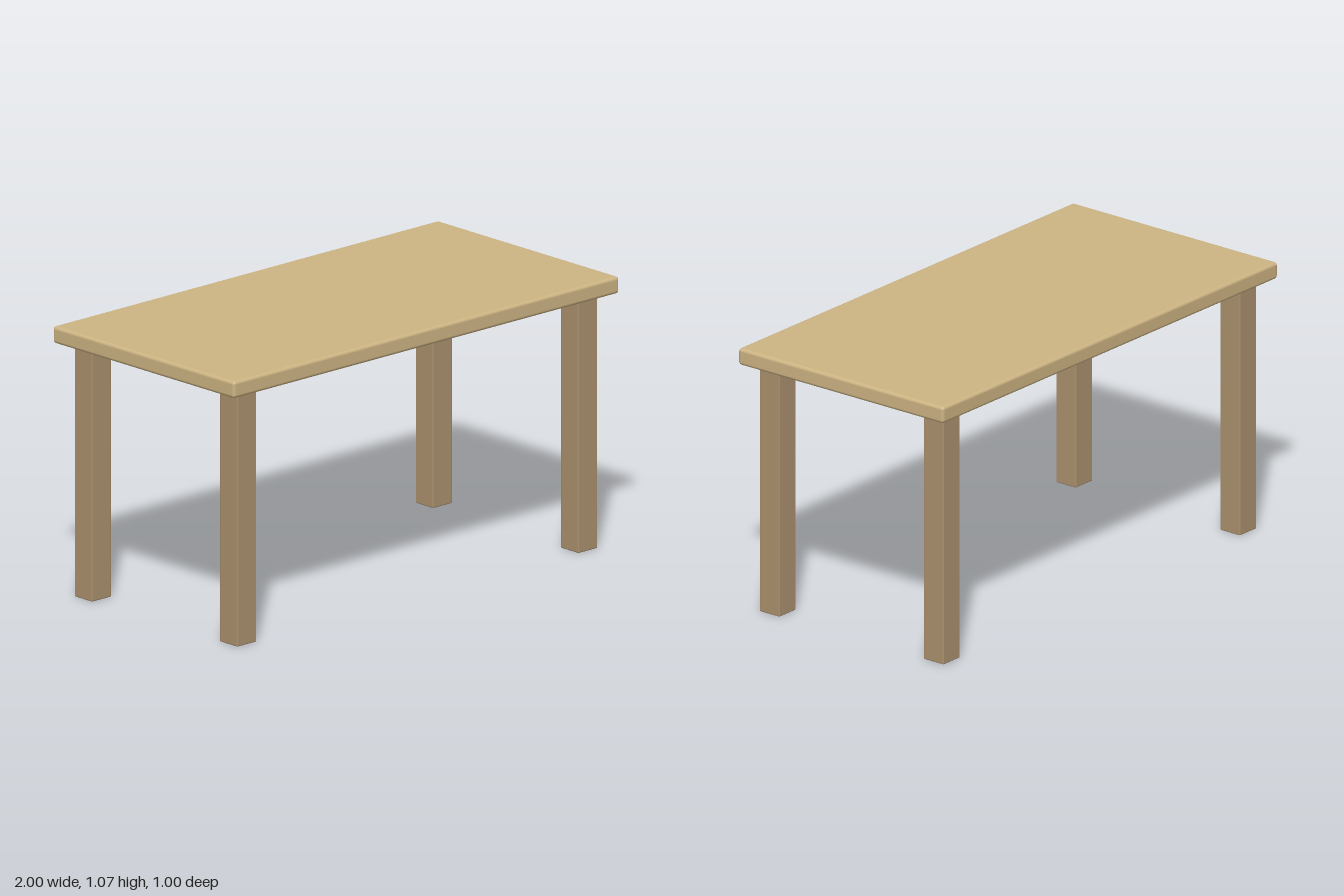
import * as THREE from 'three';
import { RoundedBoxGeometry } from 'three/addons/geometries/RoundedBoxGeometry.js';

// A box with softened edges, standing on height y
function softBox(name, [w, h, d], radius, material, x, y, z) {
  const mesh = new THREE.Mesh(new RoundedBoxGeometry(w, h, d, 3, radius), material);
  mesh.name = name;
  mesh.position.set(x, y + h / 2, z);
  return mesh;
}

export function createModel() {
  const table = new THREE.Group();
  table.name = 'table';
  const topWood = new THREE.MeshStandardMaterial({ color: 0xcdb483 });
  const legWood = new THREE.MeshStandardMaterial({ color: 0xab916e });

  // Slab top
  table.add(softBox('tableTop', [2, 0.067, 1], 0.013, topWood, 0, 1.003, 0));

  // Four square legs, set in from the corners
  for (const [side, sx] of [['Left', 1], ['Right', -1]]) {
    for (const [end, sz] of [['front', 1], ['back', -1]]) {
      table.add(softBox(`${end}${side}Leg`, [0.1, 1.003, 0.098], 0.005, legWood, sx * 0.884, 0, sz * 0.4));
    }
  }
  return table;
}
